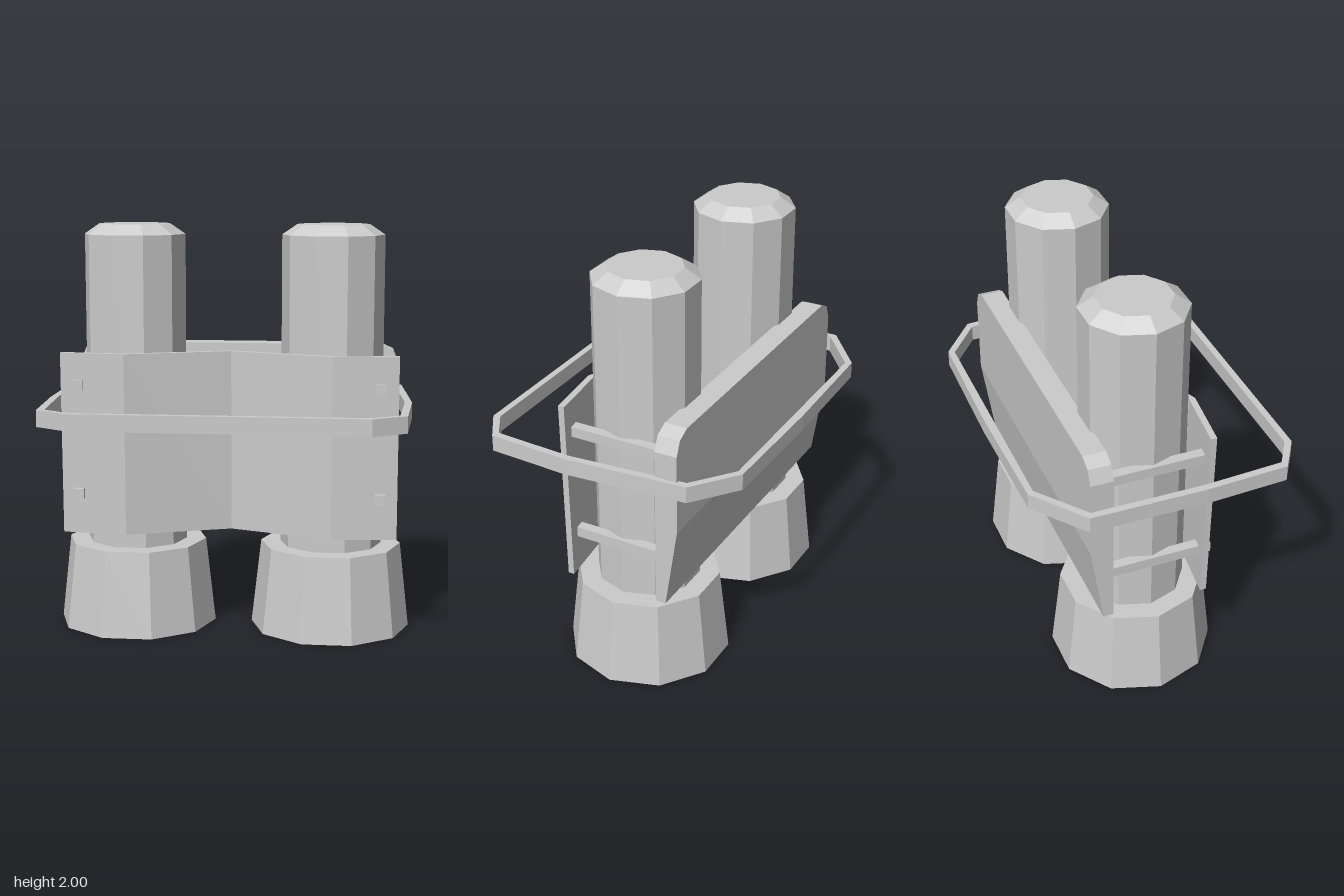
import * as THREE from 'three';

const material = new THREE.MeshStandardMaterial({ color: 0xcccccc, flatShading: true });

function add(parent, name, geometry) {
  const mesh = new THREE.Mesh(geometry, material);
  mesh.name = name;
  parent.add(mesh);
  return mesh;
}

const vectors = (list) => list.map(([a, b]) => new THREE.Vector2(a, b));

// Ten-sided turned part with corners pointing along x
function decagon(profile) {
  return new THREE.LatheGeometry(vectors(profile), 10).rotateY(Math.PI / 2);
}

// Shape drawn in x and z, raised from y0 to y1
function slab(outline, y0, y1, hole) {
  const shape = new THREE.Shape(vectors(outline));
  if (hole) shape.holes.push(new THREE.Path(vectors(hole)));
  const geometry = new THREE.ExtrudeGeometry(shape, { depth: y1 - y0, bevelEnabled: false });
  return geometry.rotateX(Math.PI / 2).translate(0, y1, 0);
}

// Moves every vertex by a rule
function reshape(geometry, rule) {
  const p = geometry.attributes.position;
  const v = new THREE.Vector3();
  for (let i = 0; i < p.count; i++) {
    v.fromBufferAttribute(p, i);
    rule(v);
    p.setXYZ(i, v.x, v.y, v.z);
  }
  geometry.computeVertexNormals();
  return geometry;
}

export function createModel() {
  const model = new THREE.Group();
  model.name = 'twinThrusterPack';

  for (const [side, s] of [['left', 1], ['right', -1]]) {
    // Tank with bevelled top, and hollow nozzle below it
    const thruster = new THREE.Group();
    thruster.name = side + 'Thruster';
    thruster.position.set(s * 0.487, 0, -0.077);
    add(thruster, 'tank', decagon([[0.25, 0.42], [0.25, 1.95], [0.176, 2], [0, 2]]));
    add(thruster, 'nozzle', decagon([
      [0, 0.42], [0.25, 0.42], [0.25, 0.28], [0.395, 0], [0.347, 0.423], [0.25, 0.423],
    ]));
    model.add(thruster);

    // Struts joining the two plates
    for (const [level, y] of [['upper', 1.235], ['lower', 0.7]]) {
      const strut = add(model, `${side}${level}Strut`, new THREE.BoxGeometry(0.05, 0.05, 0.52));
      strut.position.set(s * 0.73, y, -0.045);
    }
  }

  // Folded front plate, leaning slightly forward at the top
  const plate = slab([
    [-0.815, 0.185], [-0.5, 0.22], [0, 0.04], [0.5, 0.22], [0.815, 0.185],
    [0.815, 0.155], [0.5, 0.19], [0, 0.01], [-0.5, 0.19], [-0.815, 0.155],
  ], 0.5, 1.39);
  add(model, 'frontPlate', reshape(plate, (v) => { v.z += 0.02 * (v.y - 1.1); }));

  // Back plate: upper half with rounded corners, lower half thinning downwards
  const corner = [[0.815, 0.9], [0.815, 1.29], [0.785, 1.36], [0.72, 1.39]];
  const outline = [...corner, ...corner.map(([x, y]) => [-x, y]).reverse()];
  const upper = new THREE.ExtrudeGeometry(new THREE.Shape(vectors(outline)), {
    depth: 0.11, bevelEnabled: false,
  });
  add(model, 'backPlateUpper', upper.translate(0, 0, -0.41));
  const lower = new THREE.BoxGeometry(1.63, 0.4, 0.11).translate(0, 0.7, -0.355);
  add(model, 'backPlateLower', reshape(lower, (v) => {
    if (v.y < 0.6 && v.z < -0.35) v.z = -0.35;
  }));

  // Hoop around the whole pack
  add(model, 'hoop', slab([
    [-0.615, -0.632], [0, -0.643], [0.615, -0.632], [0.83, -0.465], [0.877, 0.13],
    [0.853, 0.535], [0.695, 0.638], [-0.695, 0.638], [-0.857, 0.535], [-0.878, 0.13], [-0.873, -0.435],
  ], 1.085, 1.165, [
    [-0.6, -0.602], [0.6, -0.602], [0.795, -0.45], [0.842, 0.13], [0.818, 0.522],
    [0.685, 0.605], [-0.685, 0.605], [-0.82, 0.522], [-0.842, 0.13], [-0.838, -0.418],
  ]));

  return model;
}
